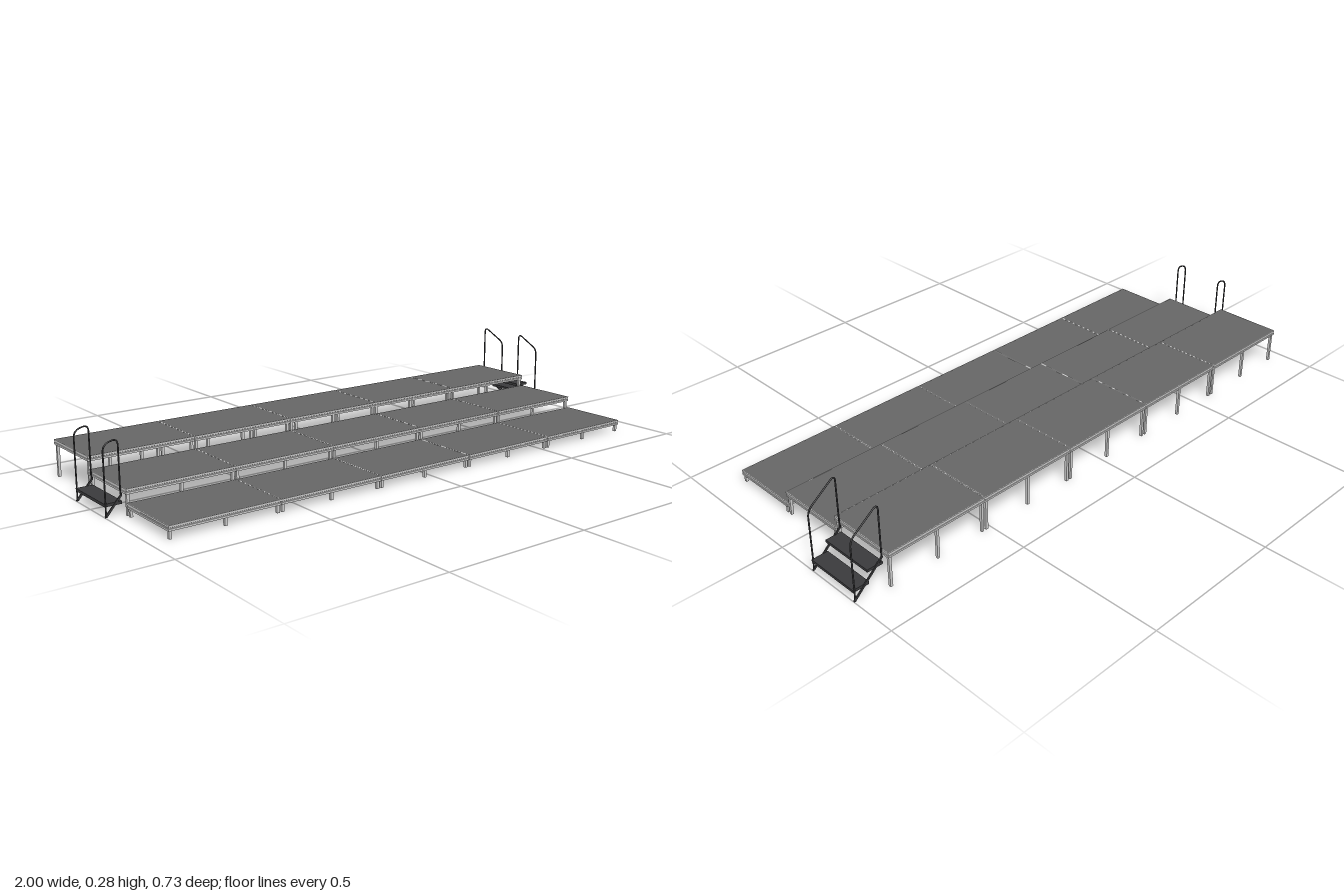
import * as THREE from 'three';

const grey = new THREE.MeshStandardMaterial({ color: 0xcccccc });
const deckMat = new THREE.MeshStandardMaterial({ color: 0x666666 });
const stairMat = new THREE.MeshStandardMaterial({ color: 0x3a3a3c });

const X0 = -0.945, W = 0.3674, D = 0.2436, H = 0.0165, LEG = 0.009;

function add(parent, name, geometry, material, x = 0, y = 0, z = 0) {
  const mesh = new THREE.Mesh(geometry, material);
  mesh.name = name;
  mesh.position.set(x, y, z);
  parent.add(mesh);
  return mesh;
}

// Mitred frame: a grooved section (inset, height) swept around a rectangle
function frameGeometry(w, d) {
  const section = [[0.004, 0], [0, 0], [0, 0.006], [0.0015, 0.007], [0.0015, 0.0095],
    [0, 0.0105], [0, H], [0.0022, H], [0.0022, 0.013], [0.004, 0.013]];
  const corners = [[-1, 1], [1, 1], [1, -1], [-1, -1]];
  const point = (c, [inset, y]) => [c[0] * (w / 2 - inset), y, c[1] * (d / 2 - inset)];
  const pos = [];
  corners.forEach((a, i) => {
    const b = corners[(i + 1) % 4];
    section.forEach((p, j) => {
      const q = section[(j + 1) % section.length];
      const [A, B, C, E] = [point(a, p), point(b, p), point(b, q), point(a, q)];
      pos.push(...A, ...B, ...C, ...A, ...C, ...E);
    });
  });
  const g = new THREE.BufferGeometry();
  g.setAttribute('position', new THREE.Float32BufferAttribute(pos, 3));
  g.computeVertexNormals();
  return g;
}

// One platform: frame, floor panel and six legs
function platform(x, z, top, frameGeo) {
  const g = new THREE.Group();
  g.name = 'platform';
  g.position.set(x, 0, z);
  const under = top - H;
  add(g, 'frame', frameGeo, grey, 0, under, 0);
  add(g, 'floorPanel', new THREE.BoxGeometry(W - 0.005, 0.0035, D - 0.0045), deckMat, 0, top - 0.0019, 0);
  const legGeo = new THREE.BoxGeometry(LEG, under + 0.011, LEG);
  for (const sx of [-1, 0, 1])
    for (const sz of [-1, 1])
      add(g, 'leg', legGeo, grey, sx * (W / 2 - 0.0085), (under + 0.011) / 2, sz * (D / 2 - 0.0085));
  return g;
}

// Handrail path with rounded corners, points given as [x, y]
function railGeometry(points, radius) {
  const v = points.map(([x, y]) => new THREE.Vector3(x, y, 0));
  const path = new THREE.CurvePath();
  let last = v[0];
  for (let i = 1; i < v.length - 1; i++) {
    const a = v[i].clone().add(v[i - 1].clone().sub(v[i]).setLength(radius));
    const b = v[i].clone().add(v[i + 1].clone().sub(v[i]).setLength(radius));
    path.add(new THREE.LineCurve3(last, a));
    path.add(new THREE.QuadraticBezierCurve3(a, v[i], b));
    last = b;
  }
  path.add(new THREE.LineCurve3(last, v[v.length - 1]));
  return new THREE.TubeGeometry(path, 90, 0.0026, 8, false);
}

// Stair running outward along +x from x = 0
function stair(name, run, rise, halfWidth, treads, rail, radius) {
  const g = new THREE.Group();
  g.name = name;
  const railGeo = railGeometry(rail, radius);
  const stringer = new THREE.Shape([[0, rise], [run, 0.004], [run, 0], [run - 0.006, 0], [0, rise - 0.008]]
    .map(([x, y]) => new THREE.Vector2(x, y)));
  const stringerGeo = new THREE.ExtrudeGeometry(stringer, { depth: 0.004, bevelEnabled: false });
  for (const s of [-1, 1]) {
    add(g, 'handrail', railGeo, stairMat, 0, 0, s * halfWidth);
    add(g, 'stringer', stringerGeo, stairMat, 0, 0, s * halfWidth - 0.002);
  }
  for (const [x0, x1, top] of treads)
    add(g, 'tread', new THREE.BoxGeometry(x1 - x0, 0.009, halfWidth * 2), stairMat, (x0 + x1) / 2, top - 0.0045, 0);
  return g;
}

export function createModel() {
  const model = new THREE.Group();
  model.name = 'tieredStage';

  // Three rising tiers of five platforms
  const frameGeo = frameGeometry(W - 0.001, D);
  [[0.245, 0.041], [0.001, 0.082], [-0.244, 0.1225]].forEach(([z, top], t) => {
    const tier = new THREE.Group();
    tier.name = ['frontTier', 'middleTier', 'backTier'][t];
    for (let i = 0; i < 5; i++) tier.add(platform(X0 + (i + 0.5) * W, z, top, frameGeo));
    model.add(tier);
  });

  // Two-step stair up to the back tier
  const tall = stair('tallStair', 0.108, 0.105, 0.0943, [[0, 0.055, 0.082], [0.052, 0.108, 0.041]],
    [[0.003, 0.1], [0.003, 0.283], [0.103, 0.208], [0.103, 0]], 0.022);
  tall.position.set(0.892, 0, -0.2445);
  model.add(tall);

  // One-step stair up to the middle tier, turned to the other side
  const low = stair('lowStair', 0.055, 0.065, 0.095, [[0, 0.055, 0.041]],
    [[0.004, 0.062], [0.004, 0.229], [0.0515, 0.216], [0.0515, 0]], 0.0225);
  low.position.set(X0, 0, 0.001);
  low.rotation.y = Math.PI;
  model.add(low);

  return model;
}
